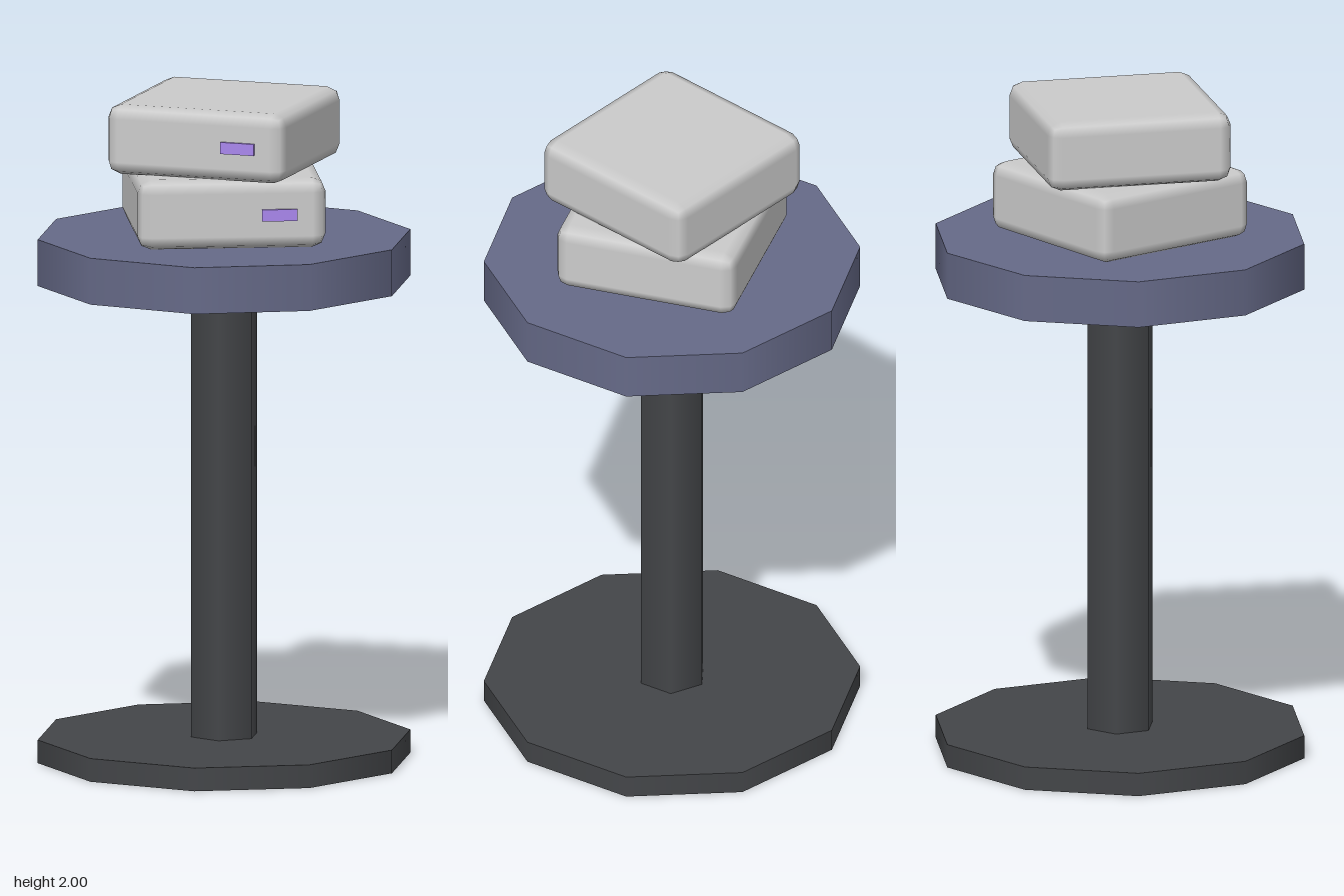
import * as THREE from 'three';
import { RoundedBoxGeometry } from 'three/addons/geometries/RoundedBoxGeometry.js';

const mat = (color) => new THREE.MeshStandardMaterial({ color });

export function createModel() {
  const model = new THREE.Group();
  const baseMat = mat(0x444649);
  const seatMat = mat(0x666a88);
  const boxMat = mat(0xcccccc);
  const tagMat = mat(0xaa88ee);

  const add = (parent, name, geometry, material, x, y, z) => {
    const mesh = new THREE.Mesh(geometry, material);
    mesh.name = name;
    mesh.position.set(x, y, z);
    parent.add(mesh);
  };

  // Upright prism spanning y0..y1, with a corner facing the front
  const prism = (name, radius, sides, y0, y1, material) =>
    add(model, name, new THREE.CylinderGeometry(radius, radius, y1 - y0, sides), material, 0, (y0 + y1) / 2, 0);

  prism('base', 0.56, 10, 0, 0.07, baseMat);
  prism('post', 0.105, 6, 0.07, 1.44, baseMat);
  prism('tableTop', 0.56, 10, 1.44, 1.58, seatMat);

  // Two chamfered boxes stacked at different turns, each with a front tag
  const box = (name, y, turn) => {
    const group = new THREE.Group();
    group.name = name;
    group.position.y = y;
    group.rotation.y = turn;
    add(group, name + 'Body', new RoundedBoxGeometry(0.56, 0.21, 0.56, 1, 0.04), boxMat, 0, 0, 0);
    add(group, name + 'Tag', new THREE.BoxGeometry(0.105, 0.035, 0.014), tagMat, 0.14, 0, 0.282);
    model.add(group);
  };
  box('lowerBox', 1.687, 0.25);
  box('upperBox', 1.895, -0.175);

  return model;
}
